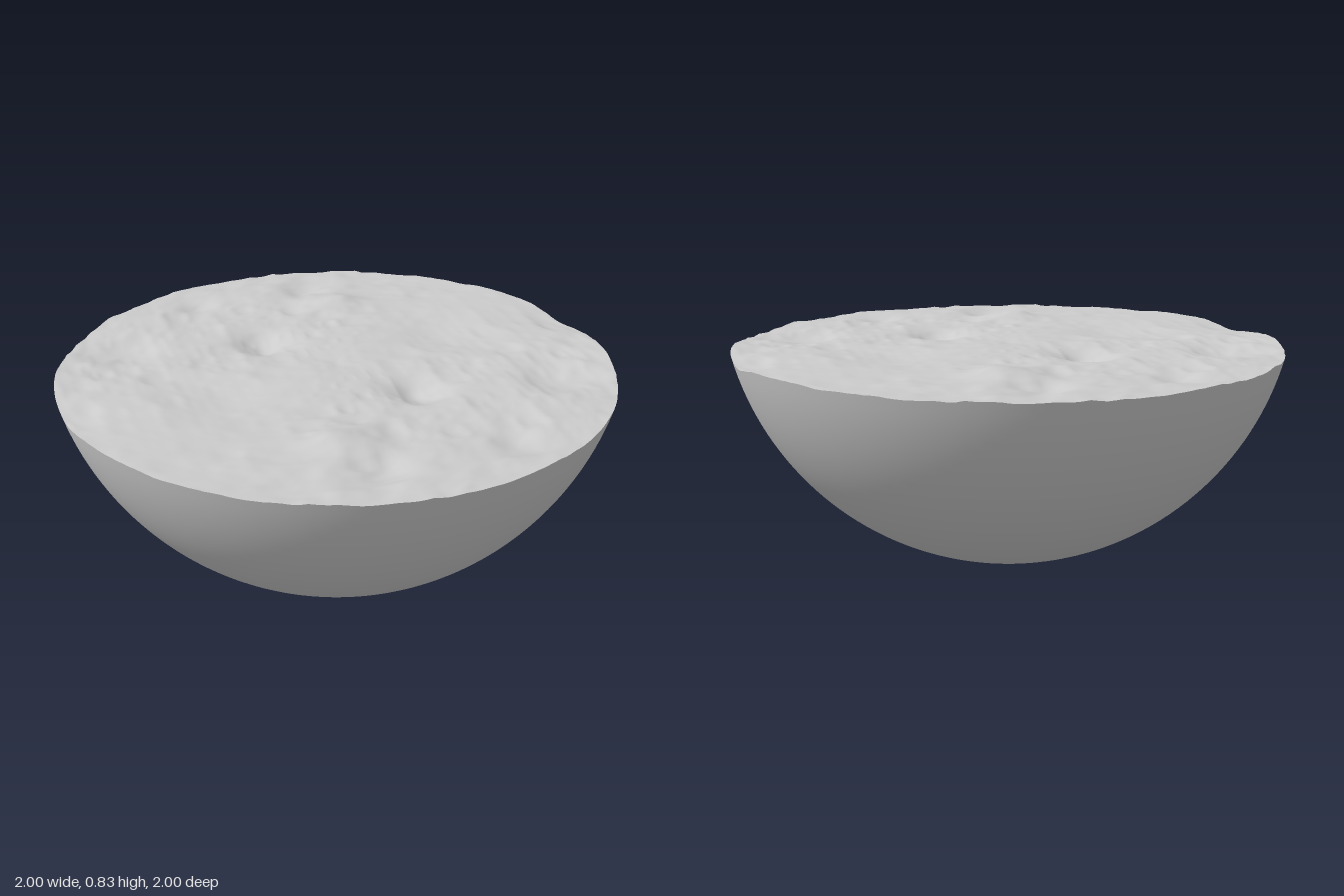
import * as THREE from 'three';

const R = 1.025;      // radius of the sphere the bowl is cut from
const LEVEL = 0.803;  // resting height of the rough top
const SEG = 240, RINGS = 90, BOWL_RINGS = 40;

// Seeded lattice value in 0..1
function hash(i, j) {
  const s = Math.sin(i * 127.1 + j * 311.7 + 4.7) * 43758.5453;
  return s - Math.floor(s);
}

// Smooth value noise
function noise(x, z) {
  const i = Math.floor(x), j = Math.floor(z);
  const fade = (t) => t * t * t * (t * (t * 6 - 15) + 10);
  const u = fade(x - i), v = fade(z - j);
  const a = hash(i, j) + (hash(i + 1, j) - hash(i, j)) * u;
  const b = hash(i, j + 1) + (hash(i + 1, j + 1) - hash(i, j + 1)) * u;
  return a + (b - a) * v;
}

// Sharp-crested noise, the same after a half turn
function ridges(x, z) {
  const one = (p, q) => Math.abs(2 * noise(p + 20, q + 20) - 1);
  return (one(x, z) + one(-x, -z)) / 2;
}

// Mounds and hollows [x, z, radius, height]; each also appears half a turn away
const FEATURES = [
  [-0.2, 0.58, 0.09, 0.03],
  [0.2, 0.29, 0.09, -0.045],
  [0.7, 0.36, 0.11, -0.03],
  [0.46, -0.15, 0.16, -0.02],
  [0.98, -0.13, 0.12, -0.02],
  [0.88, 0.47, 0.1, -0.01],
  [-0.12, 0.78, 0.08, -0.02],
  [0.33, 0.74, 0.07, -0.02],
];

function surfaceHeight(x, z) {
  let h = LEVEL;
  for (const [fx, fz, r, a] of FEATURES) {
    for (const s of [1, -1]) {
      const d2 = (x - s * fx) ** 2 + (z - s * fz) ** 2;
      h += a * Math.exp(-d2 / (r * r));
    }
  }
  // Fine wrinkles, gentler along the smooth diagonal band
  const band = Math.exp(-(((x * 0.45 + z * 0.9) / 0.25) ** 2));
  const rough = 1 - 0.5 * band;
  h -= rough * (0.013 * ridges(x * 5, z * 5) + 0.01 * ridges(x * 11, z * 11) + 0.005 * ridges(x * 21, z * 21));
  return h + 0.006;
}

const sphereRadius = (y) => Math.sqrt(Math.max(0, R * R - (R - y) ** 2));

// Rim point where the rough top meets the sphere
function rimAt(angle) {
  let r = 1, y = LEVEL;
  for (let k = 0; k < 4; k++) {
    y = surfaceHeight(r * Math.cos(angle), r * Math.sin(angle));
    r = sphereRadius(y);
  }
  return { r, y };
}

// Smooth round sheet of rings around one centre point
function roundSheet(rings, pointAt, facesUp) {
  const pos = [...pointAt(0, 0)], index = [];
  for (let i = 1; i <= rings; i++) {
    for (let j = 0; j < SEG; j++) pos.push(...pointAt(i / rings, j));
  }
  const id = (i, j) => (i === 0 ? 0 : 1 + (i - 1) * SEG + (j % SEG));
  const tri = (a, b, c) => (facesUp ? index.push(a, b, c) : index.push(a, c, b));
  for (let i = 0; i < rings; i++) {
    for (let j = 0; j < SEG; j++) {
      tri(id(i, j), id(i + 1, j + 1), id(i + 1, j));
      if (i > 0) tri(id(i, j), id(i, j + 1), id(i + 1, j + 1));
    }
  }
  const geo = new THREE.BufferGeometry();
  geo.setAttribute('position', new THREE.Float32BufferAttribute(pos, 3));
  geo.setIndex(index);
  geo.computeVertexNormals();
  return geo;
}

export function createModel() {
  const group = new THREE.Group();
  group.name = 'halfSphereWithRoughTop';
  const material = new THREE.MeshStandardMaterial({ color: 0xcccccc });
  const angleOf = (j) => (j / SEG) * Math.PI * 2;
  const rim = Array.from({ length: SEG }, (_, j) => rimAt(angleOf(j)));

  // Rough top surface
  const top = roundSheet(RINGS, (t, j) => {
    const a = angleOf(j), r = t * rim[j].r;
    const x = r * Math.cos(a), z = r * Math.sin(a);
    return [x, t === 1 ? rim[j].y : surfaceHeight(x, z), z];
  }, true);

  // Smooth spherical underside, running up to the wavy rim
  const bowl = roundSheet(BOWL_RINGS, (t, j) => {
    const a = angleOf(j);
    const polar = t * Math.acos((R - rim[j].y) / R);
    const r = R * Math.sin(polar);
    return [r * Math.cos(a), R - R * Math.cos(polar), r * Math.sin(a)];
  }, false);

  for (const [name, geo] of [['roughTop', top], ['bowl', bowl]]) {
    const mesh = new THREE.Mesh(geo, material);
    mesh.name = name;
    group.add(mesh);
  }
  return group;
}
